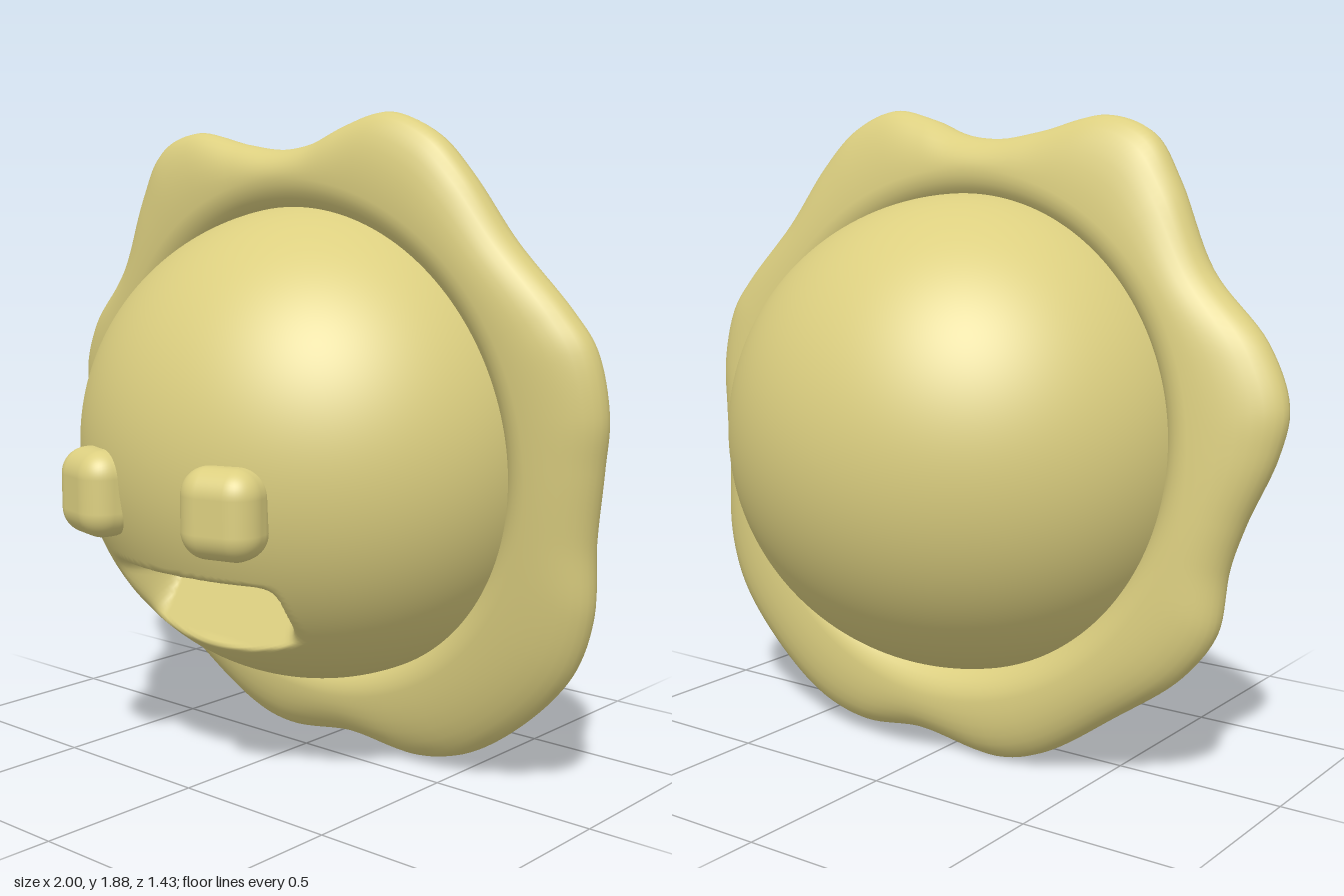
import * as THREE from 'three';
import { mergeVertices } from 'three/addons/utils/BufferGeometryUtils.js';
import { RoundedBoxGeometry } from 'three/addons/geometries/RoundedBoxGeometry.js';

const CENTRE = new THREE.Vector3(0.02, 0.945, -0.03);
const RADII = new THREE.Vector3(0.725, 0.7, 0.686);
const material = new THREE.MeshStandardMaterial({ color: 0xdccf80 });
const { smoothstep, lerp } = THREE.MathUtils;

function part(name, geometry) {
  const mesh = new THREE.Mesh(geometry, material);
  mesh.name = name;
  return mesh;
}

// Round head, with the open mouth pressed into its front
function headGeometry() {
  let g = new THREE.SphereGeometry(1, 240, 160);
  g.rotateX(Math.PI / 2);
  g.scale(RADII.x, RADII.y, RADII.z);
  g.translate(CENTRE.x, CENTRE.y, CENTRE.z);
  g.deleteAttribute('uv');
  g.deleteAttribute('normal');
  g = mergeVertices(g, 1e-5);
  const p = g.attributes.position;
  for (let i = 0; i < p.count; i++) {
    const x = p.getX(i), y = p.getY(i), z = p.getZ(i);
    if (z < 0.1) continue;
    // floor rises towards the back, roof is a short overhang
    const floor = lerp(0.41, 0.31, (y - 0.41) / 0.17);
    const across = 1 - smoothstep(Math.abs(x - 0.03), 0.235, 0.315);
    const up = smoothstep(y, 0.395, 0.43) * (1 - smoothstep(y, 0.585, 0.65));
    if (floor < z) p.setZ(i, lerp(z, floor, across * up));
  }
  g.computeVertexNormals();
  return g;
}

// Wavy collar: a flattened section swept round the head between an oval and a lobed outline
function collarGeometry() {
  const outline = [
    [1, 1.1], [0.97, 1.27], [0.9, 1.37], [0.73, 1.55], [0.6, 1.73], [0.5, 1.83], [0.35, 1.89],
    [0.2, 1.86], [0.08, 1.815], [-0.05, 1.8], [-0.2, 1.82], [-0.4, 1.86], [-0.55, 1.81],
    [-0.64, 1.68], [-0.75, 1.45], [-0.93, 1.26], [-1, 1.1], [-0.98, 0.97], [-0.9, 0.78],
    [-0.86, 0.65], [-0.84, 0.48], [-0.75, 0.35], [-0.55, 0.2], [-0.32, 0.05], [-0.17, 0.01],
    [0.1, 0.04], [0.33, 0.02], [0.5, 0.06], [0.7, 0.19], [0.87, 0.37], [0.94, 0.55],
    [0.95, 0.75], [0.98, 0.95],
  ].map(([x, y]) => new THREE.Vector3(x, y, 0));
  const curve = new THREE.CatmullRomCurve3(outline, true);
  const around = 264, section = 32, pos = [], index = [];
  for (let i = 0; i < around; i++) {
    const o = curve.getPoint(i / around);
    const dx = o.x - CENTRE.x, dy = o.y - CENTRE.y;
    const outer = Math.hypot(dx, dy), c = dx / outer, s = dy / outer;
    const inner = 0.67 + 0.02 * c * c, crest = inner + 0.1;
    for (let j = 0; j < section; j++) {
      const t = (j / section) * Math.PI * 2, k = Math.cos(t);
      const r = crest + k * (k > 0 ? outer - crest : crest - inner);
      const y = CENTRE.y + r * s;
      pos.push(CENTRE.x + r * c, y, 0.105 * Math.sin(t) - 0.045 + 0.096 * (y - CENTRE.y));
      const i2 = (i + 1) % around, j2 = (j + 1) % section;
      const a = i * section + j, b = i2 * section + j;
      const d = i2 * section + j2, e = i * section + j2;
      index.push(a, b, d, a, d, e);
    }
  }
  const g = new THREE.BufferGeometry();
  g.setAttribute('position', new THREE.Float32BufferAttribute(pos, 3));
  g.setIndex(index);
  g.computeVertexNormals();
  return g;
}

export function createModel() {
  const group = new THREE.Group();
  group.name = 'collaredHead';
  group.add(part('head', headGeometry()), part('collar', collarGeometry()));

  // Cushion-shaped eyes, turned to follow the head
  for (const side of [-1, 1]) {
    const eye = part(side > 0 ? 'leftEye' : 'rightEye', new RoundedBoxGeometry(0.23, 0.245, 0.17, 6, 0.075));
    eye.position.set(0.02 + side * 0.247, 0.85, 0.615);
    eye.rotation.y = side * 0.25;
    group.add(eye);
  }
  return group;
}
